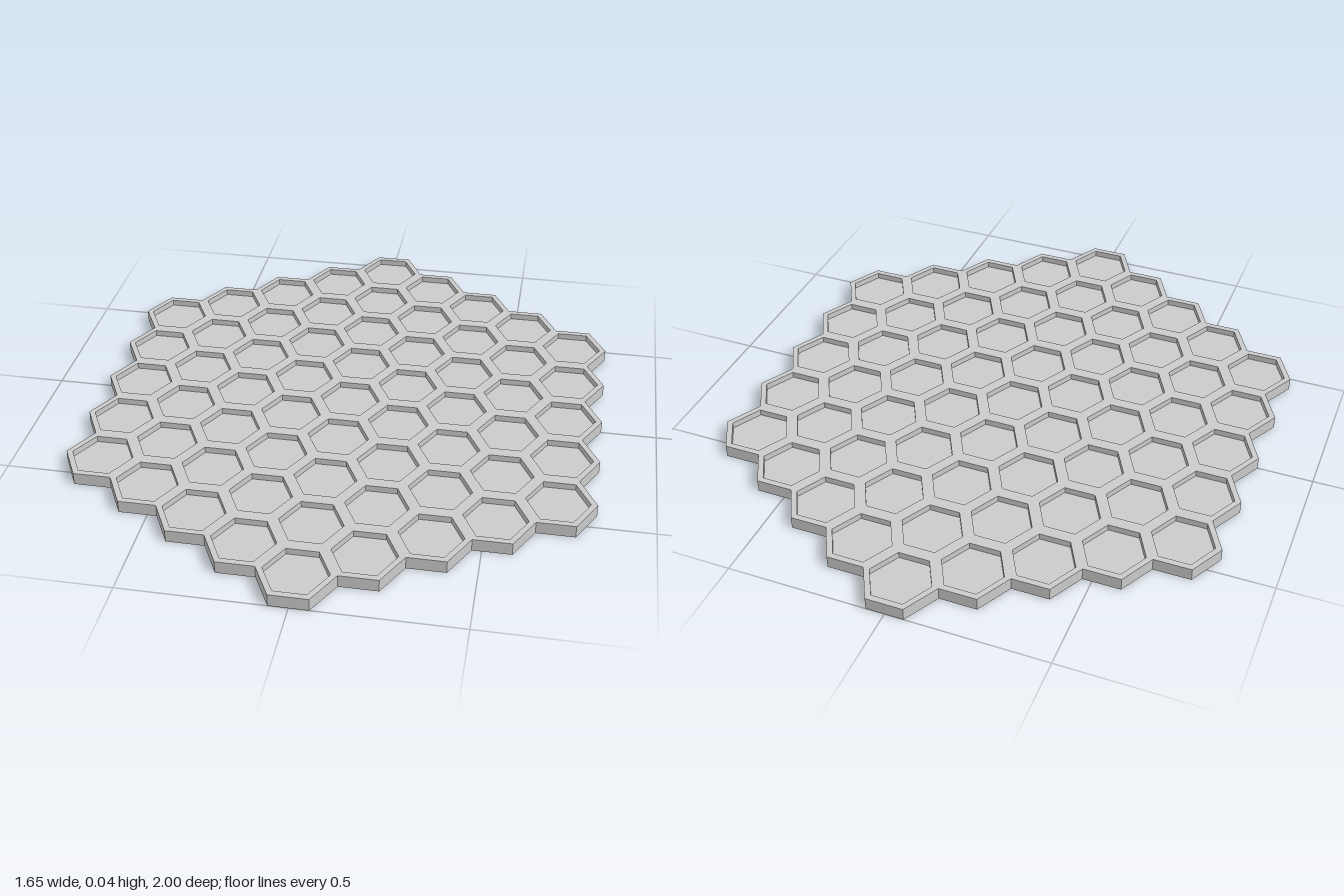
import * as THREE from 'three';

const RINGS = 4;             // rings of cells around the centre cell
const PITCH = 2 / 9;         // spacing of cells along z
const R = 0.1177;            // half width of a cell along x
const HEIGHT = 0.04, FLOOR = 0.02, INNER = 0.83;

// Corners of one flat-topped cell, scaled about its centre (shape y becomes -z)
function hexCorners(cx, cy, scale = 1) {
  const h = PITCH / 2;
  return [[R, 0], [R / 2, h], [-R / 2, h], [-R, 0], [-R / 2, -h], [R / 2, -h]]
    .map(([x, y]) => new THREE.Vector2(cx + x * scale, cy + y * scale));
}

// Cell centres, column by column
function cellCentres() {
  const cells = [];
  for (let c = -RINGS; c <= RINGS; c++) {
    const count = 2 * RINGS + 1 - Math.abs(c);
    for (let i = 0; i < count; i++) cells.push([c * R * 1.5, (i - (count - 1) / 2) * PITCH]);
  }
  return cells;
}

// Outer outline: cell edges that no neighbour shares, chained end to end
function outline(cells) {
  const key = (p) => `${Math.round(p.x * 1000 / R / 5)},${Math.round(p.y * 200 / PITCH)}`;
  const edges = new Map();
  for (const [x, y] of cells) {
    const pts = hexCorners(x, y);
    pts.forEach((a, i) => {
      const b = pts[(i + 1) % 6];
      const reverse = `${key(b)}|${key(a)}`;
      if (!edges.delete(reverse)) edges.set(`${key(a)}|${key(b)}`, [a, b]);
    });
  }
  const next = new Map([...edges.values()].map(([a, b]) => [key(a), b]));
  const start = [...edges.values()][0][0];
  const loop = [start];
  for (let p = next.get(key(start)); p && key(p) !== key(start) && loop.length < 400; p = next.get(key(p))) loop.push(p);
  return loop;
}

export function createModel() {
  const group = new THREE.Group();
  group.name = 'honeycombTray';
  const material = new THREE.MeshStandardMaterial({ color: 0xcccccc, flatShading: true });
  const cells = cellCentres();
  const border = outline(cells);

  const addSlab = (name, shape, y0, y1) => {
    const geometry = new THREE.ExtrudeGeometry(shape, { depth: y1 - y0, bevelEnabled: false });
    geometry.rotateX(-Math.PI / 2).translate(0, y0, 0);
    const mesh = new THREE.Mesh(geometry, material);
    mesh.name = name;
    group.add(mesh);
  };

  // Solid base forming the cell floors
  addSlab('base', new THREE.Shape(border), 0, FLOOR);

  // Raised walls with one hexagonal opening per cell
  const walls = new THREE.Shape(border);
  for (const [x, y] of cells) walls.holes.push(new THREE.Path(hexCorners(x, y, INNER).reverse()));
  addSlab('cellWalls', walls, FLOOR, HEIGHT);

  return group;
}
